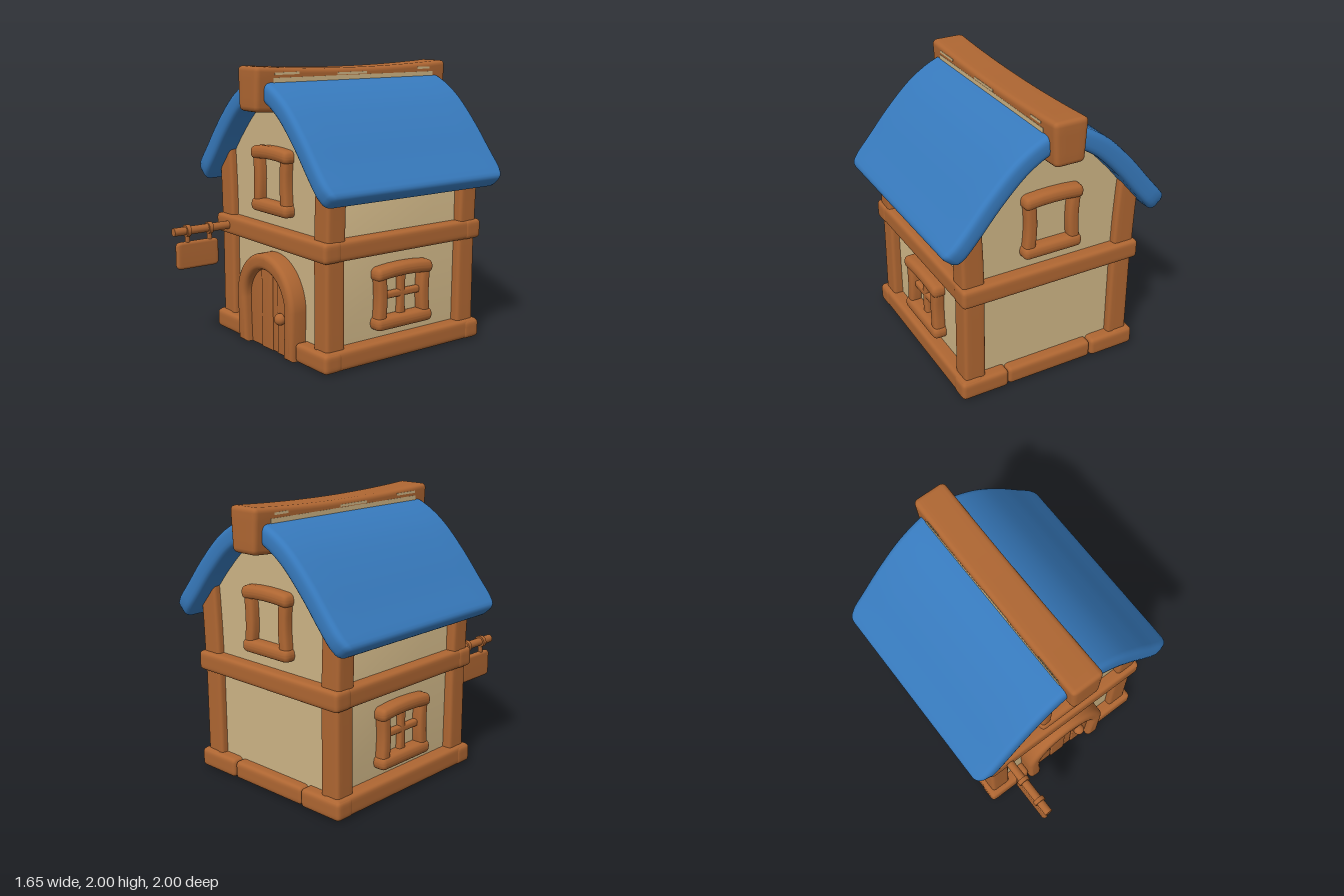
import * as THREE from 'three';
import { mergeVertices, toCreasedNormals } from 'three/addons/utils/BufferGeometryUtils.js';

const wood = new THREE.MeshStandardMaterial({ color: 0xae6632 });
wood.name = 'wood';
const plaster = new THREE.MeshStandardMaterial({ color: 0xcdb485 });
plaster.name = 'plaster';
const roofBlue = new THREE.MeshStandardMaterial({ color: 0x377abd });
roofBlue.name = 'roofBlue';

const MID = -0.15; // middle of the house along z

// Rounded box with evenly subdivided faces; warp(v) bends its points by a rule
function softBox(w, h, d, r, warp, nx = 8, ny = 8, nz = 8) {
  let g = new THREE.BoxGeometry(1, 1, 1, nx, ny, nz);
  g.deleteAttribute('uv');
  g.deleteAttribute('normal');
  g = mergeVertices(g, 1e-4);
  const half = [w / 2, h / 2, d / 2], n = [nx, ny, nz];
  const place = (t, k) => {
    const i = Math.round((t + 0.5) * n[k]), H = half[k];
    if (i <= 2) return -H + (r * i) / 2;
    if (i >= n[k] - 2) return H - (r * (n[k] - i)) / 2;
    return -(H - r) + (2 * (H - r) * (i - 2)) / (n[k] - 4);
  };
  const p = g.attributes.position, v = new THREE.Vector3(), c = new THREE.Vector3();
  const inner = new THREE.Vector3(half[0] - r, half[1] - r, half[2] - r);
  const low = inner.clone().negate();
  for (let i = 0; i < p.count; i++) {
    v.set(place(p.getX(i), 0), place(p.getY(i), 1), place(p.getZ(i), 2));
    c.copy(v).clamp(low, inner);
    v.sub(c).setLength(r).add(c);
    if (warp) warp(v);
    p.setXYZ(i, v.x, v.y, v.z);
  }
  g.computeVertexNormals();
  return g;
}

function add(parent, name, geo, mat, x = 0, y = 0, z = 0) {
  const m = new THREE.Mesh(geo, mat);
  m.name = name;
  m.position.set(x, y, z);
  parent.add(m);
  return m;
}

function extrude(shape, depth, bevel = 0) {
  const g = new THREE.ExtrudeGeometry(shape, {
    depth: depth - 2 * bevel, bevelEnabled: bevel > 0, bevelSize: bevel, bevelThickness: bevel,
    bevelOffset: -bevel, bevelSegments: 4, curveSegments: 20,
  });
  g.translate(0, 0, bevel);
  return toCreasedNormals(g, 0.7);
}

// Window frame facing +z, centred on its opening
function windowFrame(name, halfW, halfH, bars) {
  const g = new THREE.Group();
  g.name = name;
  const bow = (v) => { v.y += 0.01 - 0.3 * v.x * v.x; };
  add(g, 'lintel', softBox(halfW * 2, 0.092, 0.12, 0.036, bow), wood, 0, halfH - 0.045, 0);
  add(g, 'sill', softBox(halfW * 2, 0.092, 0.12, 0.036), wood, 0, -halfH + 0.045, 0);
  for (const s of [-1, 1]) {
    const pinch = (v) => { v.x -= s * 0.012 * Math.cos(v.y * 9); };
    add(g, 'jamb', softBox(0.08, halfH * 2 - 0.12, 0.09, 0.026, pinch), wood, s * (halfW - 0.05), 0, 0);
  }
  if (bars) {
    const flare = (v) => { v.x *= 1 + 18 * v.y * v.y; };
    add(g, 'uprightBar', softBox(0.05, halfH * 2 - 0.12, 0.05, 0.016, flare), wood, 0, 0, -0.01);
    add(g, 'crossBar', softBox(halfW * 2 - 0.12, 0.05, 0.05, 0.016), wood, 0, 0.01, -0.01);
  }
  return g;
}

export function createModel() {
  const house = new THREE.Group();
  house.name = 'house';

  // Curve of the roof from eave to eave
  const rightSide = [[0.12, 1.815], [0.29, 1.715], [0.48, 1.53], [0.64, 1.34], [0.793, 1.165]];
  const roofPts = [...rightSide.map(([x, y]) => [-x, y]).reverse(), [0, 1.845], ...rightSide];
  const roofCurve = new THREE.CatmullRomCurve3(roofPts.map(([x, y]) => new THREE.Vector3(x, y, 0)));
  const length = roofCurve.getLength();

  // Plaster body reaching up into the roof
  const wall = new THREE.Shape();
  wall.moveTo(-0.585, 0.06);
  wall.lineTo(0.585, 0.06);
  wall.lineTo(0.6, 1.34);
  for (const [x, y] of [...roofPts].reverse().slice(2, -2)) wall.lineTo(x, y);
  wall.lineTo(-0.6, 1.34);
  add(house, 'walls', extrude(wall, 1.23), plaster, 0, 0, MID - 0.615);

  // Roof sheet bent along the curve, with rounded corners
  const bend = (v) => {
    const u = THREE.MathUtils.clamp(v.x / length + 0.5, 0, 1);
    const p = roofCurve.getPointAt(u), t = roofCurve.getTangentAt(u);
    const corner = Math.max(0, Math.abs(v.x) - (length / 2 - 0.13)) / 0.13;
    v.set(p.x - t.y * v.y, p.y + t.x * v.y, v.z * (1 - 0.05 * corner * corner));
  };
  add(house, 'roof', softBox(length, 0.14, 1.565, 0.045, bend, 44, 6, 12), roofBlue, 0, 0, MID);

  // Sagging ridge beam, narrower below
  const sagAt = (z) => 0.03 * (1 - (z / 0.845) ** 2);
  const sag = (v) => {
    v.x *= 1 + 0.5 * v.y;
    v.y -= sagAt(v.z);
  };
  add(house, 'ridgeBeam', softBox(0.235, 0.305, 1.69, 0.035, sag, 8, 8, 16), wood, 0, 1.848, MID);

  // Floor
  add(house, 'floor', softBox(1.24, 0.08, 1.28, 0.02), wood, 0, 0.055, MID);

  for (const sx of [-1, 1]) {
    // Plaster seam and worn flecks along the ridge
    add(house, 'ridgeSeam', new THREE.BoxGeometry(0.009, 0.04, 1.42), plaster, sx * 0.12, 1.9, MID);
    for (const [z, len] of [[0.45, 0.2], [-0.1, 0.26], [-0.77, 0.12]]) {
      const y = 1.962 - sagAt(z - MID);
      add(house, 'ridgeFleck', new THREE.BoxGeometry(0.006, 0.016, len), plaster, sx * 0.123, y, z);
    }
    // Corner posts, the upper ones leaning out and cut to the roof slope
    for (const sz of [-1, 1]) {
      const z = MID + sz * 0.588;
      add(house, 'lowerPost', softBox(0.155, 0.74, 0.155, 0.025), wood, sx * 0.575, 0.45, z);
      const lean = (v) => {
        if (v.y > 0) v.y -= 0.9 * sx * v.x;
        v.x += sx * 0.07 * (v.y + 0.3) * Math.abs(v.y + 0.3);
      };
      add(house, 'upperPost', softBox(0.16, 0.6, 0.155, 0.025, lean), wood, sx * 0.58, 1.09, z);
    }
    // Side beams
    add(house, 'sideBaseBeam', softBox(0.16, 0.14, 1.39, 0.03), wood, sx * 0.605, 0.08, MID);
    add(house, 'sideMiddleBeam', softBox(0.14, 0.14, 1.39, 0.03), wood, sx * 0.605, 0.82, MID);
    add(house, 'eaveBeam', softBox(0.1, 0.12, 1.2, 0.025), wood, sx * 0.6, 1.23, MID);
    // Side windows
    const side = windowFrame('sideWindow', 0.25, 0.222, true);
    side.position.set(sx * 0.622, 0.437, MID);
    side.rotation.y = sx * Math.PI / 2;
    house.add(side);
    // Base beams beside the door and their match at the back
    add(house, 'frontBaseBeam', softBox(0.355, 0.135, 0.15, 0.03), wood, sx * 0.512, 0.077, 0.48);
    add(house, 'backBaseBeam', softBox(0.355, 0.135, 0.15, 0.03), wood, sx * 0.512, 0.077, -0.775);
  }
  add(house, 'backBaseBeam', softBox(0.665, 0.13, 0.14, 0.03), wood, 0, 0.075, -0.772);

  // Front and back beams and upper windows
  for (const sz of [-1, 1]) {
    add(house, 'endMiddleBeam', softBox(1.36, 0.14, 0.15, 0.03), wood, 0, 0.82, MID + sz * 0.627);
    const upper = windowFrame('upperWindow', 0.22, 0.23, false);
    upper.position.set(0, 1.207, MID + sz * 0.635);
    if (sz < 0) upper.rotation.y = Math.PI;
    house.add(upper);
  }

  // Door with arched frame, planks and knob
  const door = new THREE.Group();
  door.name = 'door';
  house.add(door);
  const legs = new THREE.Shape();
  legs.moveTo(0.235, 0.005);
  legs.lineTo(0.335, 0.005);
  legs.lineTo(0.35, 0.35);
  legs.absarc(0, 0.35, 0.35, 0, Math.PI, false);
  legs.lineTo(-0.335, 0.005);
  legs.lineTo(-0.235, 0.005);
  legs.lineTo(-0.25, 0.335);
  legs.absarc(0, 0.335, 0.25, Math.PI, 0, true);
  legs.closePath();
  add(door, 'doorFrame', extrude(legs, 0.16, 0.035), wood, 0, 0, 0.43);
  const edges = [-0.255, -0.1, 0.03, 0.1, 0.255];
  const topAt = (x) => 0.335 + Math.sqrt(Math.max(0, 0.262 ** 2 - x * x));
  for (let i = 0; i < 4; i++) {
    const a = edges[i], b = edges[i + 1];
    const plank = new THREE.Shape();
    plank.moveTo(a, 0);
    plank.lineTo(b, 0);
    for (let k = 0; k <= 8; k++) {
      const x = b + ((a - b) * k) / 8;
      plank.lineTo(x, topAt(x));
    }
    plank.closePath();
    add(door, 'doorPlank', extrude(plank, 0.1, 0.01), wood, 0, 0, i % 2 ? 0.434 : 0.426);
  }
  add(door, 'doorKnob', new THREE.SphereGeometry(0.042, 20, 14), wood, 0.155, 0.265, 0.548);

  // Hanging sign on a pole
  const sign = new THREE.Group();
  sign.name = 'hangingSign';
  sign.position.set(-0.512, 0, 0);
  house.add(sign);
  const rod = (name, r, len, z) => {
    add(sign, name, new THREE.CylinderGeometry(r, r, len, 20), wood, 0, 0.82, z).rotation.x = Math.PI / 2;
  };
  rod('signPole', 0.03, 0.5, 0.75);
  for (const z of [0.71, 0.89]) {
    rod('signRing', 0.043, 0.032, z);
    add(sign, 'signHanger', softBox(0.03, 0.11, 0.032, 0.01), wood, 0, 0.765, z);
  }
  // Board with rounded corners
  const round = (v) => {
    const t = Math.max(0, Math.abs(v.z) - 0.13) / 0.04;
    v.y *= 1 - 0.12 * t * t;
  };
  add(sign, 'signBoard', softBox(0.046, 0.2, 0.34, 0.022, round, 6, 6, 20), wood, 0, 0.642, 0.812);

  return house;
}
